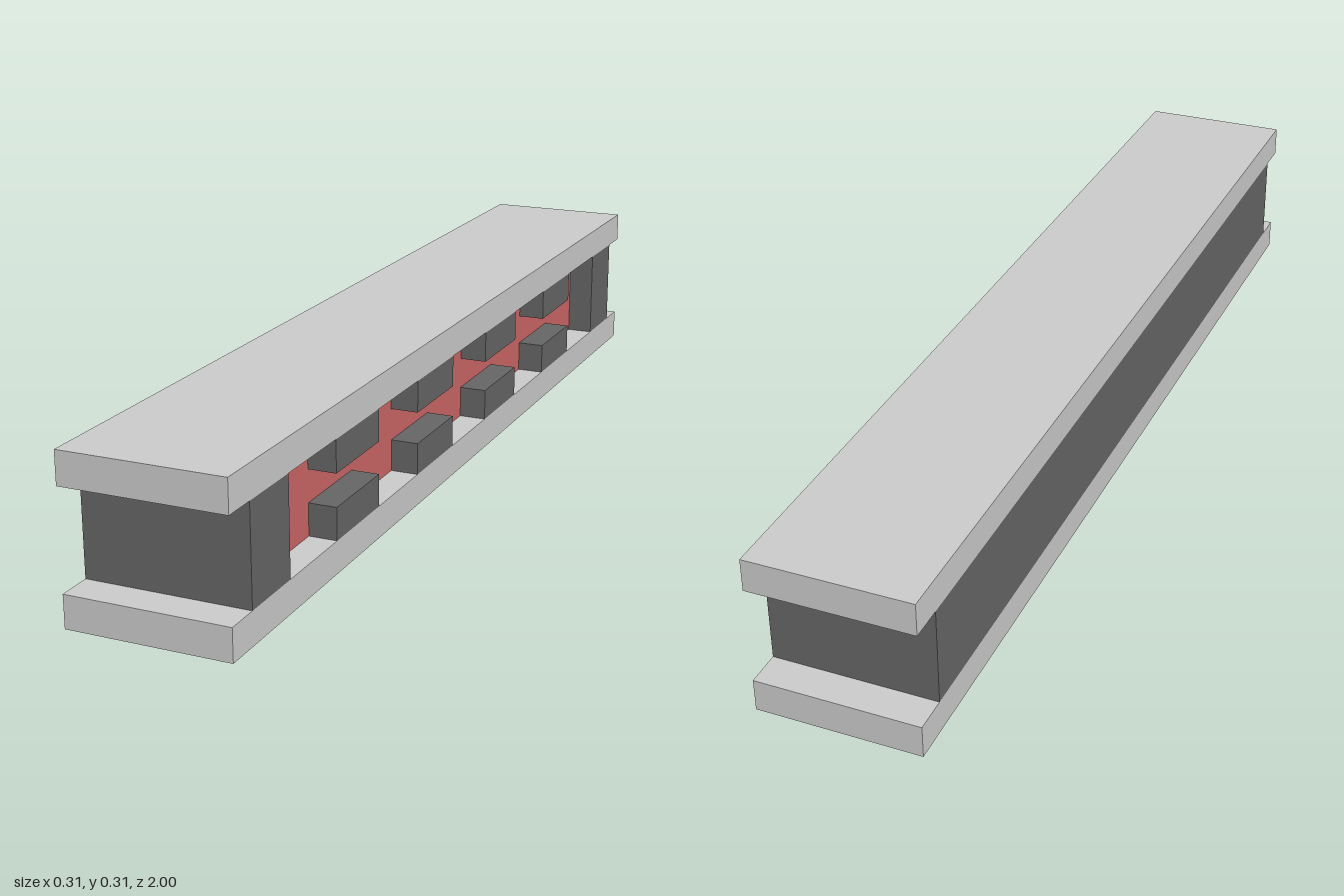
import * as THREE from 'three';

const U = 2 / 45;              // base module
const HALF_W = 3.5 * U;        // half width across x
const SLAB = 1.4 * U;          // slab thickness
const CORE = 4.2 * U;          // height between the slabs
const DEPTH = 1.25 * U;        // depth of the recess on the left side
const CORE_Z = 21 * U, RECESS_Z = 18 * U;

const grey = new THREE.MeshStandardMaterial({ color: 0xcccccc, flatShading: true });
const dark = new THREE.MeshStandardMaterial({ color: 0x666666, flatShading: true });
const red = new THREE.MeshStandardMaterial({ color: 0xcc6666, flatShading: true });

function box(name, material, size, position) {
  const mesh = new THREE.Mesh(new THREE.BoxGeometry(...size), material);
  mesh.name = name;
  mesh.position.set(...position);
  return mesh;
}

export function createModel() {
  const model = new THREE.Group();
  model.name = 'recessedBeam';

  // bottom and top slabs
  model.add(box('bottomSlab', grey, [2 * HALF_W, SLAB, 2], [0, SLAB / 2, 0]));
  model.add(box('topSlab', grey, [2 * HALF_W, SLAB, 2], [0, SLAB * 1.5 + CORE, 0]));

  // dark core: plan outline with a long notch on the +x side
  const floorX = HALF_W - DEPTH;
  const plan = new THREE.Shape([
    [-HALF_W, -CORE_Z], [HALF_W, -CORE_Z], [HALF_W, -RECESS_Z], [floorX, -RECESS_Z],
    [floorX, RECESS_Z], [HALF_W, RECESS_Z], [HALF_W, CORE_Z], [-HALF_W, CORE_Z],
  ].map(([x, z]) => new THREE.Vector2(x, z)));
  const coreGeometry = new THREE.ExtrudeGeometry(plan, { depth: CORE, bevelEnabled: false });
  coreGeometry.rotateX(-Math.PI / 2);
  const core = new THREE.Mesh(coreGeometry, dark);
  core.name = 'core';
  core.position.y = SLAB;
  model.add(core);

  // red panel lining the back of the recess
  const midY = SLAB + CORE / 2;
  model.add(box('recessPanel', red, [0.002, CORE, 2 * RECESS_Z], [floorX, midY, 0]));

  // paired blocks along the top and bottom of the recess
  const blocks = new THREE.Group();
  blocks.name = 'recessBlocks';
  const blockH = CORE / 3;
  for (let i = 0; i < 4; i++) {
    for (const side of [-1, 1]) {
      blocks.add(box(side < 0 ? 'lowerBlock' : 'upperBlock', dark, [DEPTH, blockH, 4 * U],
        [HALF_W - DEPTH / 2, midY + side * blockH, (i - 1.5) * 8 * U]));
    }
  }
  model.add(blocks);
  return model;
}
